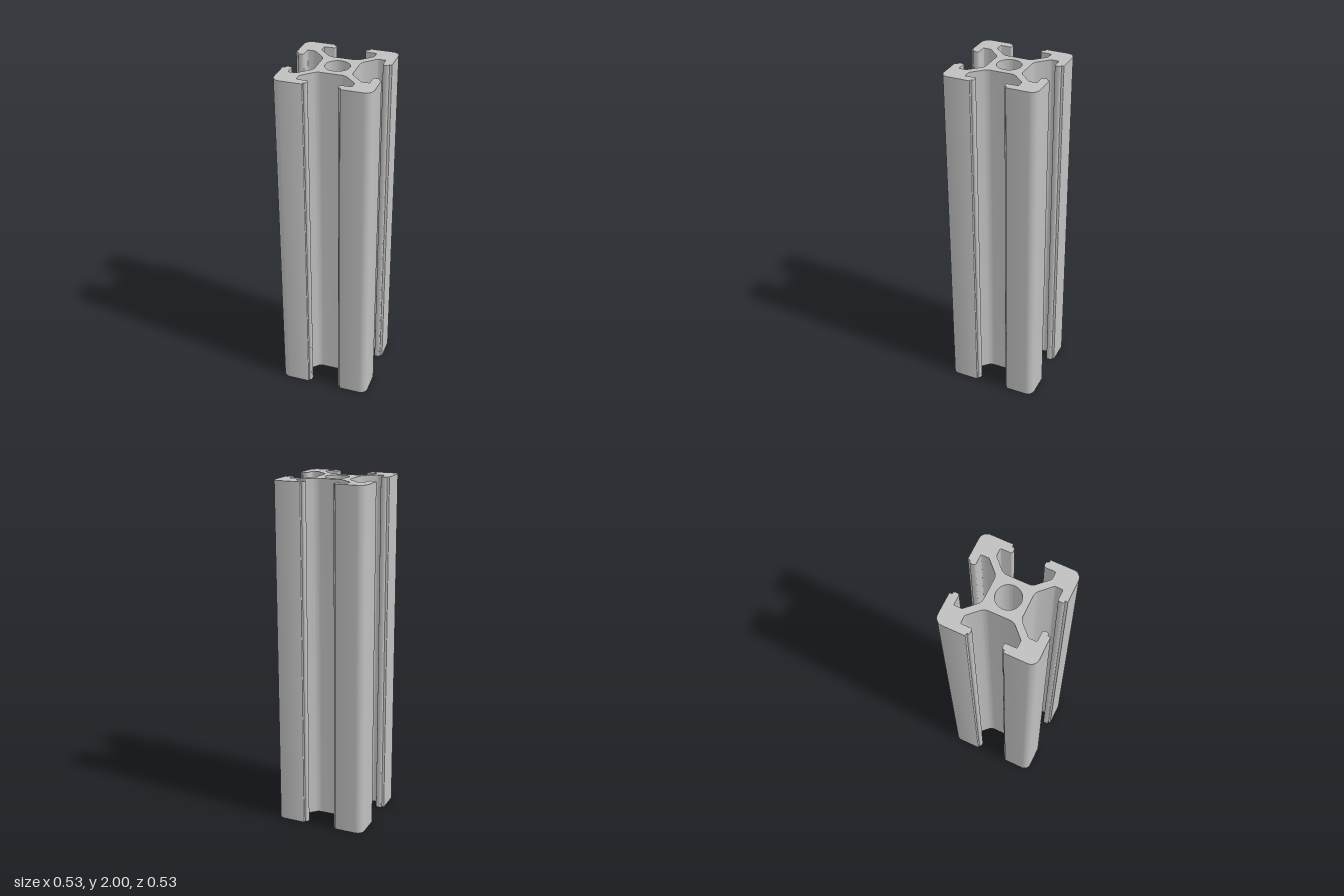
import * as THREE from 'three';
import { toCreasedNormals } from 'three/addons/utils/BufferGeometryUtils.js';

const LENGTH = 2;

// Half of one corner arm, from the core wall to the outer face: x, y, fillet length
const half = [
  [0.104, 0.077, 0.02],
  [0.175, 0.148, 0.006],
  [0.219, 0.148, 0.006],
  [0.219, 0.084, 0.009],
  [0.252, 0.084, 0.009],
  [0.252, 0.099, 0.003],
  [0.267, 0.099, 0.003],
];

// Mirror the half arm about its diagonal, then turn it four times
function outline() {
  const mirrored = half.map(([x, y, t]) => [y, x, t]).reverse();
  const arm = [...half, [0.267, 0.267, 0.043], ...mirrored];
  const points = [];
  for (let i = 0; i < 4; i++) {
    for (const [x, y, t] of arm) {
      const p = new THREE.Vector2(x, y).rotateAround(new THREE.Vector2(), i * Math.PI / 2);
      points.push({ p, t });
    }
  }
  return points;
}

// Closed shape whose corners are rounded by circular fillets
function filletedShape(corners) {
  const shape = new THREE.Shape();
  const n = corners.length;
  corners.forEach(({ p, t }, i) => {
    const a = corners[(i + n - 1) % n].p.clone().sub(p).normalize();
    const b = corners[(i + 1) % n].p.clone().sub(p).normalize();
    const turn = Math.PI - Math.acos(THREE.MathUtils.clamp(a.dot(b), -1, 1));
    const h = t * (1 - (4 / 3) * Math.tan(turn / 4) / Math.tan(turn / 2));
    const at = (dir, d) => p.clone().addScaledVector(dir, d);
    const start = at(a, t), c1 = at(a, h), c2 = at(b, h), end = at(b, t);
    if (i === 0) shape.moveTo(start.x, start.y);
    else shape.lineTo(start.x, start.y);
    shape.bezierCurveTo(c1.x, c1.y, c2.x, c2.y, end.x, end.y);
  });
  shape.closePath();
  return shape;
}

export function createModel() {
  const aluminium = new THREE.MeshStandardMaterial({ color: 0xc0c0c0 });
  aluminium.name = 'aluminium';

  // Slotted cross-section with a round centre bore
  const profile = filletedShape(outline());
  const bore = new THREE.Path();
  for (let i = 0; i < 4; i++) {
    bore.absarc(0, 0, 0.067, -i * Math.PI / 2, -(i + 1) * Math.PI / 2, true);
  }
  profile.holes.push(bore);

  // Extrude upright
  const geometry = new THREE.ExtrudeGeometry(profile, {
    depth: LENGTH, bevelEnabled: false, curveSegments: 8,
  });
  geometry.rotateX(-Math.PI / 2);

  const rail = new THREE.Mesh(toCreasedNormals(geometry, 0.5), aluminium);
  rail.name = 'slottedRail';

  const group = new THREE.Group();
  group.name = 'extrudedRail';
  group.add(rail);
  return group;
}
